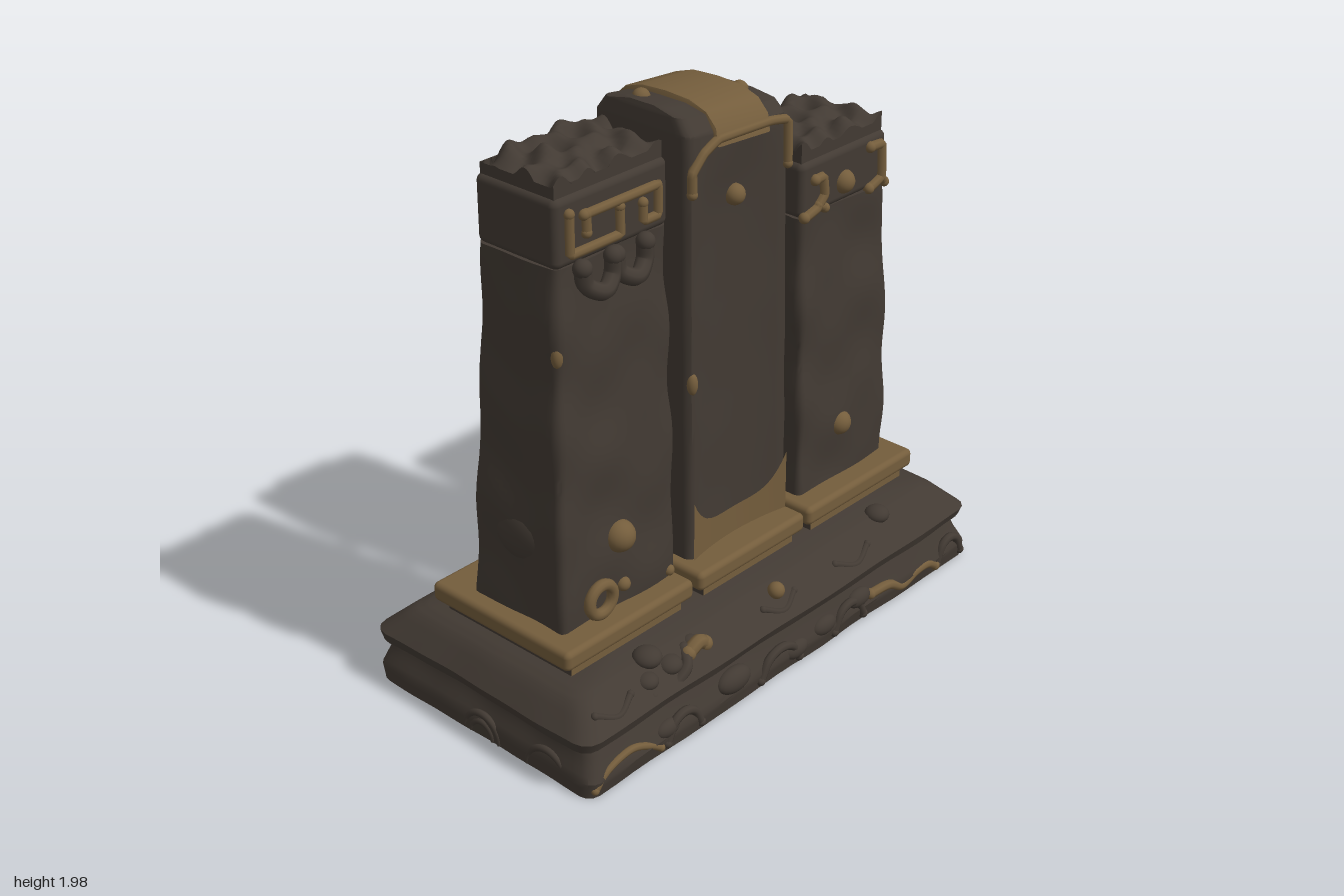
import * as THREE from 'three';
import { toCreasedNormals } from 'three/addons/utils/BufferGeometryUtils.js';
import { RoundedBoxGeometry } from 'three/addons/geometries/RoundedBoxGeometry.js';

const stone = new THREE.MeshStandardMaterial({ color: 0x423a33 });
stone.name = 'dark stone';
const bronze = new THREE.MeshStandardMaterial({ color: 0x745d3c });
bronze.name = 'aged bronze';

const wave = (x, y, z) => Math.sin(7 * x + 9 * y + 4 * z) * Math.sin(6 * y - 8 * z + 2) + 0.5 * Math.sin(19 * y + 11 * x) * Math.sin(17 * z + 13 * x + 1);

// Rounded rectangle as a list of [x, z], each with its outward direction
function outline(x0, x1, z0, z1, r, n) {
  const centres = [[x1 - r, z1 - r], [x0 + r, z1 - r], [x0 + r, z0 + r], [x1 - r, z0 + r]];
  const at = (c, k) => {
    const a = (c + k / 3) * Math.PI / 2;
    return [centres[c % 4][0] + r * Math.cos(a), centres[c % 4][1] + r * Math.sin(a), Math.cos(a), Math.sin(a)];
  };
  const pts = [];
  for (let c = 0; c < 4; c++) {
    for (let k = 0; k < 4; k++) pts.push(at(c, k));
    const a = at(c, 3), b = at(c + 1, 0);
    for (let i = 1; i < n; i++) pts.push(a.map((v, j) => v + (b[j] - v) * i / n));
  }
  return pts;
}

// Skin over rings [y, x0, x1, z0, z1, corner]; steps subdivides, shape(p) moves points
function loft(rings, { steps = 1, n = 10, rough = 0, shape, crease = 0.6 } = {}) {
  const pos = [], idx = [];
  let count = 0, rows = 0;
  for (let i = 0; i < rings.length; i++) {
    const parts = i < rings.length - 1 ? steps : 1;
    for (let s = 0; s < parts; s++) {
      const [y, x0, x1, z0, z1, r] = rings[i].map((v, k) => (s ? v + (rings[i + 1][k] - v) * s / parts : v));
      const ring = outline(x0, x1, z0, z1, r, n);
      count = ring.length;
      for (const [x, z, dx, dz] of ring) {
        const d = rough * wave(x, y, z);
        const p = new THREE.Vector3(x + dx * d, y, z + dz * d);
        if (shape) shape(p);
        pos.push(p.x, p.y, p.z);
      }
      rows++;
    }
  }
  for (let i = 0; i < rows - 1; i++) for (let j = 0; j < count; j++) {
    const a = i * count + j, b = i * count + (j + 1) % count;
    idx.push(a, a + count, b, b, a + count, b + count);
  }
  // End caps
  for (const row of [0, rows - 1]) {
    const centre = new THREE.Vector3();
    for (let j = 0; j < count; j++) centre.add(new THREE.Vector3().fromArray(pos, (row * count + j) * 3));
    centre.divideScalar(count);
    const c = pos.length / 3;
    pos.push(centre.x, centre.y, centre.z);
    for (let j = 0; j < count; j++) {
      const a = row * count + j, b = row * count + (j + 1) % count;
      row ? idx.push(c, b, a) : idx.push(c, a, b);
    }
  }
  const g = new THREE.BufferGeometry();
  g.setAttribute('position', new THREE.Float32BufferAttribute(pos, 3));
  g.setIndex(idx);
  return toCreasedNormals(g, crease);
}

export function createModel() {
  const model = new THREE.Group();
  model.name = 'threePillarMonument';
  const add = (name, geo, mat, x = 0, y = 0, z = 0) => {
    const m = new THREE.Mesh(geo, mat);
    m.name = name;
    m.position.set(x, y, z);
    model.add(m);
    return m;
  };
  const ball = (name, mat, x, y, z, r, sx = 1, sy = 1, sz = 1) =>
    add(name, new THREE.SphereGeometry(r, 20, 14), mat, x, y, z).scale.set(sx, sy, sz);
  // Tube through [z, y, dx] points near a plane of constant x, with round ends
  const cord = (name, mat, x, pts, r, tension = 0.1) => {
    const v = pts.map(([z, y, dx = 0]) => new THREE.Vector3(x + dx, y, z));
    add(name, new THREE.TubeGeometry(new THREE.CatmullRomCurve3(v, false, 'catmullrom', tension), 48, r, 8), mat);
    for (const p of [v[0], v[v.length - 1]]) ball(name + 'End', mat, p.x, p.y, p.z, r * 1.1);
  };

  // Hollow plinth: inside funnel, foot, groove, overhanging slab and sloped top
  add('plinth', loft([
    [0.23, -0.33, 0.33, -0.87, 0.87, 0.03], [0.13, -0.38, 0.38, -0.9, 0.9, 0.03],
    [0.005, -0.44, 0.44, -0.94, 0.94, 0.03], [0.005, -0.495, 0.495, -0.985, 0.985, 0.04],
    [0.06, -0.505, 0.505, -0.985, 0.985, 0.04], [0.12, -0.48, 0.48, -0.96, 0.96, 0.04],
    [0.16, -0.465, 0.465, -0.95, 0.95, 0.04], [0.168, -0.485, 0.485, -0.985, 0.985, 0.05],
    [0.205, -0.5, 0.5, -0.995, 0.995, 0.06], [0.285, -0.42, 0.41, -0.92, 0.92, 0.05], [0.303, -0.38, 0.37, -0.88, 0.88, 0.05],
  ], { steps: 3, n: 24, rough: 0.005 }), stone);

  // Bronze footing trays, with panels inside the hollow
  for (const [z, d] of [[0.59, 0.59], [-0.005, 0.54], [-0.59, 0.59]]) {
    add('footingNeck', new THREE.BoxGeometry(0.57, 0.07, d - 0.08), [bronze, bronze, stone, stone, stone, stone], 0, 0.315, z);
    add('footingTray', new RoundedBoxGeometry(0.63, 0.07, d, 3, 0.02), bronze, -0.005, 0.375, z);
    add('undersidePanel', new RoundedBoxGeometry(0.54, 0.04, d - 0.1, 2, 0.015), bronze, 0, 0.22, z);
  }

  // Worn outer pillars with heavier broken caps
  const outer = [
    { name: 'front', top: 1.65, cap: 0.225, z: [0.295, 0.82, 0.77], x: [-0.185, 0.225, -0.14, 0.19] },
    { name: 'rear', top: 1.46, cap: 0.195, z: [-0.34, -0.825, -0.78], x: [-0.185, 0.225, -0.15, 0.2] },
  ];
  for (const { name, top, cap, z: [zin, zb, zt], x } of outer) {
    const ring = (y, t) => {
      const e = zb + (zt - zb) * t;
      return [y, x[0] + (x[2] - x[0]) * t, x[1] + (x[3] - x[1]) * t, Math.min(zin, e), Math.max(zin, e), 0.025];
    };
    add(name + 'Pillar', loft([ring(0.4, 0), ring(0.75, 0.15), ring(1.1, 0.5), ring(top, 1)], { steps: 16, n: 14, rough: 0.009, crease: 0.8 }), stone);
    const cz = (zin + zt) / 2, w = x[3] - x[2], d = Math.abs(zt - zin), cx = (x[2] + x[3]) / 2;
    add(name + 'Cap', new RoundedBoxGeometry(w + 0.01, cap, d + 0.01, 4, 0.025), stone, cx, top + cap / 2 - 0.002, cz);
    // Broken crown: a slab with a lumpy, domed top
    const crown = new THREE.BoxGeometry(w - 0.02, 0.1, d - 0.02, 26, 3, 36);
    const p = crown.attributes.position;
    for (let i = 0; i < p.count; i++) if (p.getY(i) > 0.04) {
      const a = p.getX(i), b = p.getZ(i);
      const edge = Math.max(Math.abs(a) / (w / 2 - 0.01), Math.abs(b) / (d / 2 - 0.01));
      let lumps = 0;
      for (let k = 0; k < 5; k++) lumps += Math.sin((48 + 5 * k) * (a * Math.cos(k * 1.3) + b * Math.sin(k * 1.3)) + 2.1 * k);
      p.setY(i, 0.05 + 0.009 * lumps - 0.035 * Math.max(0, edge - 0.75) / 0.25);
    }
    crown.computeVertexNormals();
    add(name + 'BrokenCrown', crown, stone, cx, top + cap + 0.015, cz);
  }
  ball('frontBulge', stone, 0.02, 0.69, 0.775, 0.13, 1, 0.8, 0.4);
  ball('rearBulge', stone, 0.02, 0.69, -0.78, 0.13, 1, 0.8, 0.4);

  // Middle pillar: hollowed side faces and a rounded, tilted top
  add('middlePillar', loft([
    [0.4, -0.235, 0.225, -0.275, 0.225, 0.03], [1.1, -0.22, 0.215, -0.272, 0.218, 0.03],
    [1.82, -0.205, 0.205, -0.265, 0.21, 0.03], [1.885, -0.2, 0.2, -0.265, 0.21, 0.03],
    [1.93, -0.165, 0.165, -0.26, 0.205, 0.03], [1.945, -0.08, 0.08, -0.255, 0.2, 0.03],
  ], {
    steps: 8, n: 14, rough: 0.002,
    shape: (p) => {
      const hollow = Math.max(0, 1 - ((p.z + 0.025) / 0.22) ** 2);
      if (p.y < 1.84) p.x *= 1 - 0.12 * hollow * Math.min(1, (1.84 - p.y) * 6);
      p.y += Math.max(0, p.y - 1.75) * 0.7 * p.z;
    },
  }), stone);

  // Bronze strap bent over the middle pillar
  const half = [[0, 1.962], [0.1, 1.957], [0.17, 1.935], [0.212, 1.895], [0.224, 1.845]];
  const arch = new THREE.Shape([
    ...half.slice(1).reverse().map(([x, y]) => new THREE.Vector2(-x, y)),
    ...half.map(([x, y]) => new THREE.Vector2(x, y)),
    ...[[0.195, 1.845], [0.19, 1.88], [0.14, 1.915], [-0.14, 1.915], [-0.19, 1.88], [-0.195, 1.845]].map((q) => new THREE.Vector2(...q)),
  ]);
  const strap = new THREE.ExtrudeGeometry(arch, { depth: 0.235, bevelThickness: 0.008, bevelSize: 0.006, bevelSegments: 2 });
  strap.translate(0, -1.9, -0.1175);
  add('strap', toCreasedNormals(strap, 0.7), bronze, -0.008, 1.9, -0.033).rotation.x = -0.07;

  // Curved bronze foot sheet on the hollowed left face
  const sheet = new THREE.MeshStandardMaterial({ color: bronze.color, side: THREE.DoubleSide });
  sheet.name = 'bronze sheet';
  const foot = new THREE.PlaneGeometry(0.47, 1, 24, 1);
  const fp = foot.attributes.position;
  for (let i = 0; i < fp.count; i++) {
    const z = fp.getX(i), u = Math.abs(z) / 0.235;
    fp.setXYZ(i, 0.203 + 0.027 * u * u, fp.getY(i) > 0 ? 0.51 + 0.12 * u ** 4 : 0.405, z - 0.025);
  }
  foot.computeVertexNormals();
  add('footSheet', foot, sheet);
  // Carved squiggle and chip on the right face
  cord('stoneSquiggle', stone, -0.208, [[-0.12, 0.5], [-0.06, 0.58], [-0.12, 0.66], [-0.05, 0.72], [0.02, 0.68]], 0.018, 0.5);
  ball('smallStud', bronze, -0.235, 0.44, 0.03, 0.025);

  for (const s of [1, -1]) {
    // Cord framing the top of the middle pillar
    cord('middleCord', bronze, s * 0.21, [[0.2, 1.72], [0.2, 1.79], [0.15, 1.84], [0.08, 1.87], [-0.16, 1.86], [-0.25, 1.84], [-0.255, 1.69]], 0.016);
    ball('middleStud', bronze, s * 0.19, 1.65, -0.02, 0.036);
    // Hooks and studs of the rear cap
    const hx = s > 0 ? 0.208 : -0.16;
    cord('rearHookInner', bronze, hx, [[-0.4, 1.585], [-0.44, 1.585], [-0.45, 1.52], [-0.41, 1.48], [-0.35, 1.465]], 0.018);
    cord('rearHookInnerTail', bronze, hx, [[-0.42, 1.49], [-0.455, 1.47]], 0.016);
    cord('rearHookOuter', bronze, hx, [[-0.69, 1.615], [-0.75, 1.61], [-0.755, 1.49], [-0.69, 1.465]], 0.018);
    cord('rearHookOuterTail', bronze, hx, [[-0.755, 1.49], [-0.775, 1.465]], 0.016);
    ball('rearCapStud', bronze, hx - s * 0.01, 1.53, -0.56, 0.042);
    ball('frontLowStud', bronze, s > 0 ? 0.215 : -0.17, 0.66, 0.55, 0.055);
  }
  ball('rearLowStud', bronze, 0.215, 0.62, -0.56, 0.046);
  ball('topStud', bronze, -0.06, 1.955, 0.14, 0.03);
  ball('topStud', bronze, 0.04, 1.91, -0.21, 0.03);
  ball('frontCapStud', bronze, -0.15, 1.76, 0.53, 0.038);
  // Bronze showing through chipped edges
  for (const [x, y, z] of [[0.185, 1.37, 0.77], [0.205, 1.06, 0.195], [-0.22, 0.45, 0.205]]) ball('edgeChip', bronze, x, y, z, 0.025, 0.8, 1.6, 0.8);

  // Front pillar ornaments on its left face
  cord('frontCapFret', bronze, 0.2, [[0.66, 1.8], [0.345, 1.8], [0.345, 1.7], [0.41, 1.7], [0.41, 1.76]], 0.016, 0.02);
  cord('frontCapFret', bronze, 0.2, [[0.72, 1.82], [0.72, 1.69], [0.51, 1.69], [0.51, 1.78]], 0.016, 0.02);
  cord('frontCapFret', bronze, 0.2, [[0.65, 1.8], [0.65, 1.74]], 0.016);
  for (const z of [0.615, 0.475]) cord('stoneScroll', stone, 0.215, [[z + 0.07, 1.64], [z + 0.055, 1.58], [z, 1.55, 0.02], [z - 0.055, 1.58], [z - 0.06, 1.64]], 0.028, 0.5);
  add('frontRing', new THREE.TorusGeometry(0.052, 0.02, 10, 28), bronze, 0.25, 0.49, 0.67).rotation.y = Math.PI / 2;
  ball('smallStud', bronze, 0.225, 0.48, 0.545, 0.025);
  ball('smallStud', bronze, 0.225, 0.43, 0.33, 0.02);

  // Plinth carvings, mostly on the left side
  const x = 0.495;
  cord('bronzeVine', bronze, x, [[0.96, 0.03], [0.9, 0.08], [0.8, 0.1], [0.72, 0.07], [0.66, 0.03]], 0.013, 0.5);
  cord('bronzeVine', bronze, x, [[-0.42, 0.09], [-0.52, 0.08], [-0.6, 0.04], [-0.68, 0.06], [-0.75, 0.06], [-0.8, 0.03]], 0.018, 0.5);
  for (const [z, w] of [[0.55, 0.08], [0.07, 0.1], [-0.3, 0.08], [-0.88, 0.07]])
    cord('stoneArc', stone, x, [[z + w, 0.03], [z + w * 0.6, 0.09], [z, 0.11], [z - w * 0.6, 0.09], [z - w, 0.03]], 0.016, 0.5);
  for (const [z, y, r] of [[0.3, 0.1, 0.065], [-0.02, 0.06, 0.05], [-0.17, 0.08, 0.05], [-0.36, 0.1, 0.05], [0.62, 0.08, 0.045]])
    ball('stoneLeaf', stone, 0.485, y, z, r, 0.6, 0.7, 1.2);
  for (const [z, y, r] of [[0.6, 0.29, 0.05], [0.65, 0.245, 0.04], [0.54, 0.25, 0.045], [-0.59, 0.29, 0.045], [0.42, 0.27, 0.03]])
    ball('stoneBud', stone, 0.67 - y, y + 0.005, z, r, 1, 0.7, 1);
  cord('stoneStem', stone, 0.46, [[0.66, 0.21], [0.58, 0.2], [0.5, 0.24], [0.46, 0.27, -0.05]], 0.02, 0.5);
  cord('bronzeLeaf', bronze, 0.43, [[0.46, 0.26], [0.41, 0.28], [0.38, 0.26]], 0.025, 0.5);
  for (const [z, w] of [[0.02, 0.08], [-0.37, 0.09], [0.82, 0.08]])
    cord('slopeArc', stone, 0.44, [[z + w, 0.255], [z, 0.225, 0.025], [z - w, 0.255]], 0.012, 0.5);
  ball('plinthStud', bronze, 0.425, 0.285, 0.015, 0.03);
  for (const z of [0.76, -0.78]) ball('sideBud', stone, -0.475, 0.09, z, 0.06, 0.8, 1, 1);
  for (const s of [1, -1]) for (const [cx, r] of [[0, 0.08], [0, 0.05], [0.3, 0.09]])
    add('endArch', new THREE.TorusGeometry(r, 0.012, 8, 24, Math.PI), stone, cx, 0.005, s * 0.975);
  // Curl on the rear slope
  add('rearCurl', new THREE.TorusGeometry(0.04, 0.012, 8, 24, Math.PI * 1.4), stone, -0.13, 0.26, -0.945).rotation.x = -2.3;
  return model;
}
